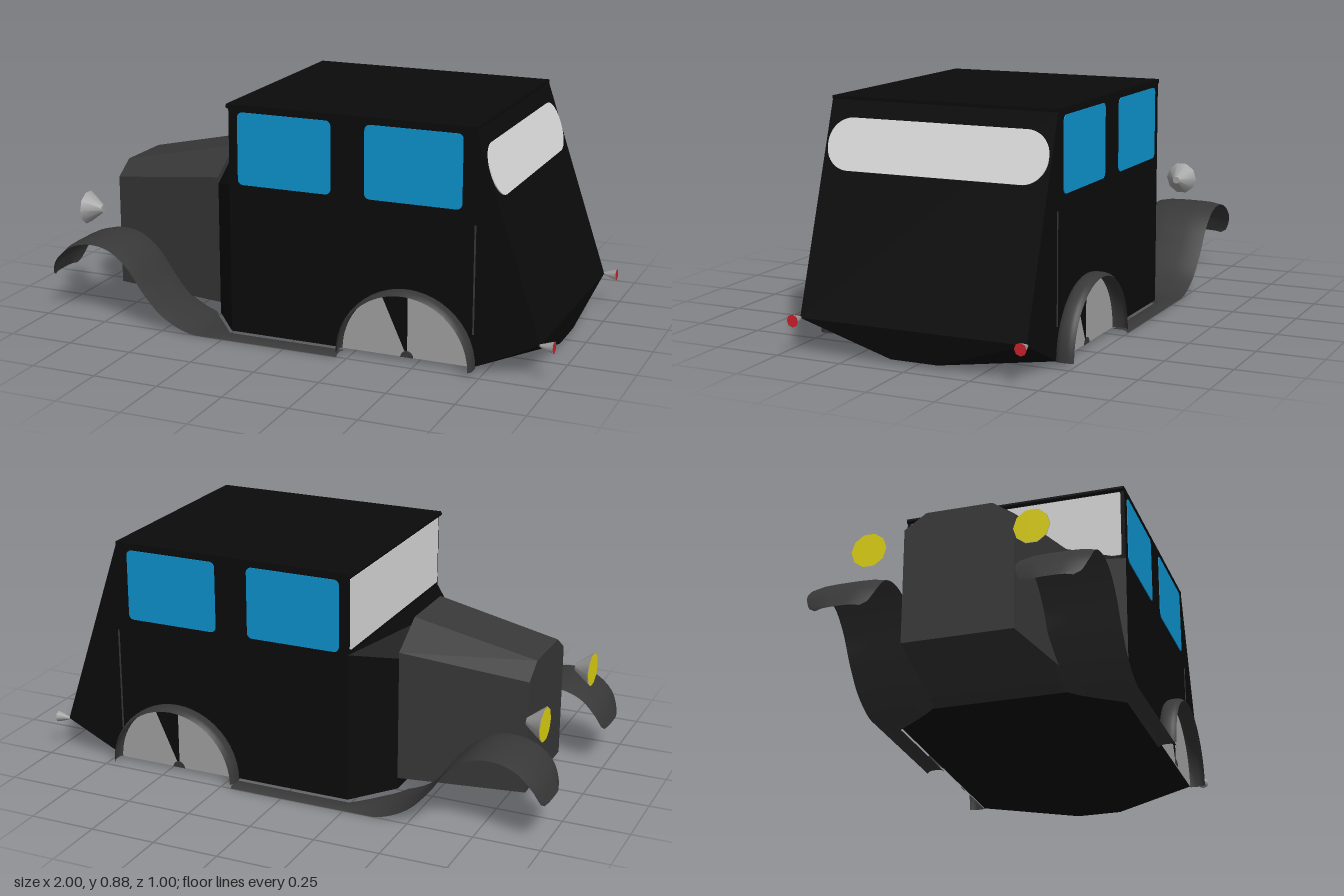
import * as THREE from 'three';
import { ConvexGeometry } from 'three/addons/geometries/ConvexGeometry.js';

const mat = (name, color, side = THREE.FrontSide) => {
  const m = new THREE.MeshStandardMaterial({ color, side });
  m.name = name;
  return m;
};

export function createModel() {
  const car = new THREE.Group();
  car.name = 'vintageCar';
  const black = mat('black paint', 0x0b0b0b);
  const charcoal = mat('charcoal', 0x383838, THREE.DoubleSide);
  const metal = mat('grey metal', 0xa4a4a4, THREE.DoubleSide);
  const glass = mat('pale glass', 0xdcdcdc);
  const blue = mat('blue glass', 0x0d95d2);
  const red = mat('red lamp', 0xd0202c);
  const yellow = mat('yellow lamp', 0xe0d410);

  const add = (name, geometry, material, x = 0, y = 0, z = 0) => {
    const mesh = new THREE.Mesh(geometry, material);
    mesh.name = name;
    mesh.position.set(x, y, z);
    car.add(mesh);
    return mesh;
  };

  // Convex solid from points mirrored across z
  const hull = (pts) => new ConvexGeometry(pts.flatMap(([x, y, z]) =>
    [new THREE.Vector3(x, y, z), new THREE.Vector3(x, y, -z)]));

  // Thin rounded plate, centred, facing +z
  const plate = (w, h, r, depth = 0.004) => {
    const s = new THREE.Shape();
    const a = w / 2, b = h / 2;
    s.moveTo(-a + r, -b);
    s.lineTo(a - r, -b).absarc(a - r, -b + r, r, -Math.PI / 2, 0);
    s.absarc(a - r, b - r, r, 0, Math.PI / 2);
    s.absarc(-a + r, b - r, r, Math.PI / 2, Math.PI);
    s.absarc(-a + r, -b + r, r, Math.PI, Math.PI * 1.5);
    return new THREE.ExtrudeGeometry(s, { depth, bevelEnabled: false });
  };

  // Bodywork
  add('cabin', hull([
    [-0.24, 0.015, 0.435], [-0.24, 0.875, 0.435], [0.70, 0.875, 0.435],
    [0.95, 0.13, 0.435], [0.71, 0.015, 0.435], [0.925, 0.015, 0.09],
  ]), black);
  add('cowl', hull([
    [-0.37, 0.015, 0.27], [-0.37, 0.53, 0.27], [-0.37, 0.62, 0.13],
    [-0.24, 0.015, 0.435], [-0.24, 0.58, 0.435],
  ]), black);
  add('hood', hull([
    [-0.84, 0.06, 0.2], [-0.84, 0.49, 0.2], [-0.84, 0.545, 0.12],
    [-0.37, 0.06, 0.275], [-0.37, 0.555, 0.275], [-0.37, 0.645, 0.13],
  ]), charcoal);
  add('roof', new THREE.BoxGeometry(0.95, 0.012, 0.872), black, 0.227, 0.876, 0);
  const lip = add('roofLip', new THREE.CylinderGeometry(0.009, 0.009, 0.87, 10), black, -0.243, 0.873, 0);
  lip.rotation.x = Math.PI / 2;

  // Windscreen and sloping rear window
  const screen = add('windscreen', plate(0.84, 0.265, 0.004), glass, -0.24, 0.728, 0);
  screen.rotation.y = -Math.PI / 2;
  const slope = Math.atan2(0.25, 0.745);
  const rear = add('rearWindow', plate(0.85, 0.19, 0.09), glass, 0.752, 0.72, 0);
  rear.rotation.set(-slope, Math.PI / 2, 0, 'YXZ');

  // Sheet swept along a path, with a crowned cross-section
  const sheet = (path, edges, crown) => {
    const pos = [], idx = [], n = 6;
    path.forEach((p, i) => {
      const q = path[Math.min(i + 1, path.length - 1)], o = path[Math.max(i - 1, 0)];
      const nx = -(q.y - o.y), ny = q.x - o.x, l = Math.hypot(nx, ny);
      const [z0, z1] = edges(p.x);
      for (let j = 0; j <= n; j++) {
        const t = j / n, drop = crown * Math.pow(2 * t - 1, 4);
        pos.push(p.x - nx / l * drop, Math.max(0, p.y - ny / l * drop), z0 + (z1 - z0) * t);
        if (i && j) {
          const a = i * (n + 1) + j, b = a - n - 1;
          idx.push(b - 1, a - 1, a, b - 1, a, b);
        }
      }
    });
    const g = new THREE.BufferGeometry();
    g.setAttribute('position', new THREE.Float32BufferAttribute(pos, 3));
    // Keep outward winding: +z to the sweep's left
    g.setIndex(idx.map((_, k) => idx[k - (k % 3) + [0, 2, 1][k % 3]]));
    g.computeVertexNormals();
    return g;
  };

  // Front fender flowing into the running board
  const fenderPath = new THREE.CatmullRomCurve3([
    [-1, 0.15], [-0.965, 0.225], [-0.9, 0.285], [-0.81, 0.31], [-0.72, 0.295],
    [-0.64, 0.235], [-0.57, 0.14], [-0.49, 0.06], [-0.38, 0.012], [-0.25, 0.01], [0.21, 0.01],
  ].map(([x, y]) => new THREE.Vector3(x, y, 0))).getPoints(60);
  const fenderEdges = (x) => {
    const r = 0.05, d = Math.max(0, r - (x + 1));
    const c = r - Math.sqrt(Math.max(0, r * r - d * d));
    const inner = 0.24 + 0.19 * THREE.MathUtils.clamp((x + 0.4) / 0.15, 0, 1);
    return [inner + c, 0.5 - c];
  };
  const fender = sheet(fenderPath, fenderEdges, 0.01);

  // Rear wheel arch
  const wx = 0.46, wy = 0.015;
  const archPath = Array.from({ length: 25 }, (_, i) => {
    const a = Math.PI * (1 - i / 24);
    return new THREE.Vector3(wx + 0.26 * Math.cos(a), wy + 0.26 * Math.sin(a), 0);
  });
  const arch = sheet(archPath, () => [0.43, 0.5], 0.012);

  // Mirrored copy of a sheet for the other side
  const mirrored = (g) => {
    const m = g.clone().scale(1, 1, -1);
    const k = Array.from(g.index.array);
    for (let i = 0; i < k.length; i += 3) [k[i], k[i + 1]] = [k[i + 1], k[i]];
    m.setIndex(k);
    m.computeVertexNormals();
    return m;
  };

  for (const s of [1, -1]) {
    const side = s > 0 ? 'near' : 'far';
    const turn = s > 0 ? 0 : Math.PI;
    add(side + 'FenderAndRunningBoard', s > 0 ? fender : mirrored(fender), charcoal);
    add(side + 'WheelArch', s > 0 ? arch : mirrored(arch), charcoal);

    // Side windows
    for (const x of [-0.022, 0.473]) {
      add(side + 'SideWindow', plate(0.365, 0.27, 0.02), blue, x, 0.72, s * 0.434).rotation.y = turn;
    }
    add(side + 'DoorSeam', new THREE.BoxGeometry(0.006, 0.4, 0.004), charcoal, 0.705, 0.335, s * 0.435);

    // Half-hidden rear wheel: two disc sectors with a dark gap, and a hub
    const gap = [Math.PI / 2, Math.PI * 0.635];
    for (const [from, to] of [[0, gap[0]], [gap[1], Math.PI]]) {
      add(side + 'WheelDisc', new THREE.CircleGeometry(0.25, 20, from, to - from), metal,
        wx, wy, s * 0.439).rotation.y = turn;
    }
    add(side + 'WheelHub', new THREE.CircleGeometry(0.025, 12, 0, Math.PI), charcoal,
      wx, wy, s * 0.442).rotation.y = turn;

    // Headlamp cone and lens
    const lamp = add(side + 'Headlamp', new THREE.CylinderGeometry(0.015, 0.065, 0.065, 10), metal,
      -0.897, 0.38, s * 0.29);
    lamp.rotation.z = -Math.PI / 2;
    const lens = add(side + 'HeadlampLens', new THREE.CircleGeometry(0.064, 10), yellow, -0.932, 0.38, s * 0.29);
    lens.rotation.y = -Math.PI / 2;

    // Tail lamp cone and lens
    const tail = add(side + 'TailLamp', new THREE.CylinderGeometry(0.022, 0.005, 0.05, 8), metal,
      0.973, 0.13, s * 0.435);
    tail.rotation.z = -Math.PI / 2;
    const tailLens = add(side + 'TailLampLens', new THREE.CircleGeometry(0.023, 8), red, 1.0, 0.13, s * 0.435);
    tailLens.rotation.y = Math.PI / 2;
  }
  return car;
}
